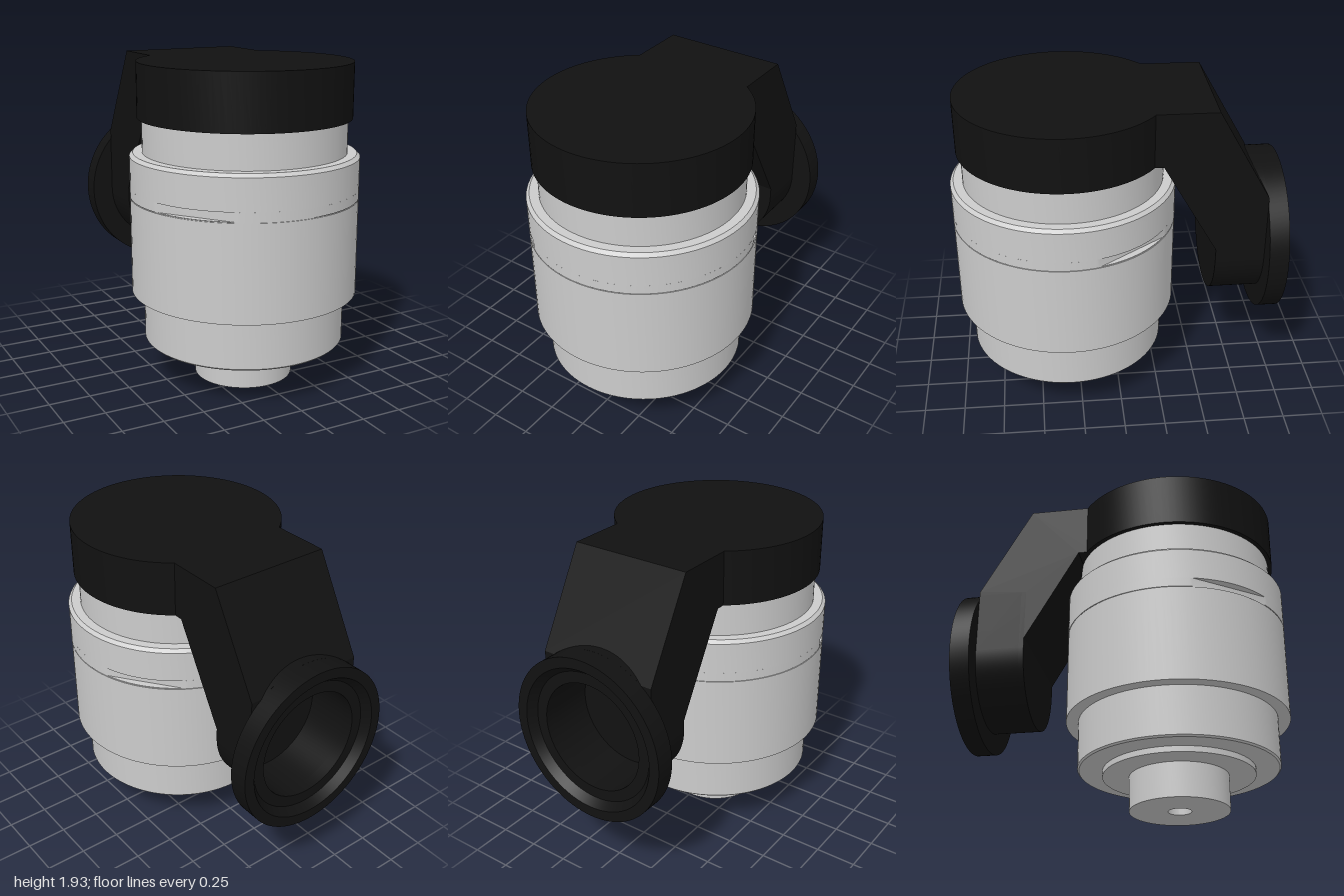
import * as THREE from 'three';
import { toCreasedNormals } from 'three/addons/utils/BufferGeometryUtils.js';

const AXIS_Z = 0.315;   // body axis
const PORT_Y = 0.965;   // height of the round port on the arm
const ARM = 0.38;       // half width of the arm

const grey = new THREE.MeshStandardMaterial({ color: 0xcccccc });
const black = new THREE.MeshStandardMaterial({ color: 0x111111 });

const vec = ([x, y]) => new THREE.Vector2(x, y);
const rad = THREE.MathUtils.degToRad;

function part(name, geometry, material) {
  const mesh = new THREE.Mesh(toCreasedNormals(geometry, 0.5), material);
  mesh.name = name;
  return mesh;
}

const lathe = (points) => new THREE.LatheGeometry(points.map(vec), 96);

const extrude = (shape, depth) =>
  new THREE.ExtrudeGeometry(shape, { depth, bevelEnabled: false, curveSegments: 48 });

// Rounded-bottom outline of the port housing, optionally bored
function housingShape(boreRadius) {
  const shape = new THREE.Shape();
  shape.moveTo(ARM, 1.35);
  shape.lineTo(-ARM, 1.35);
  shape.lineTo(-ARM, PORT_Y);
  shape.absarc(0, PORT_Y, ARM, Math.PI, 2 * Math.PI, false);
  shape.closePath();
  if (boreRadius) {
    shape.holes.push(new THREE.Path().absarc(0, PORT_Y, boreRadius, 0, 2 * Math.PI, true));
  }
  return shape;
}

function createBody() {
  const body = new THREE.Group();
  body.name = 'body';
  body.position.z = AXIS_Z;

  // Stem with centre hole, stepped base and lower barrel
  body.add(part('lowerBody', lathe([
    [0, 0.12], [0.07, 0.12], [0.07, 0], [0.3, 0], [0.3, 0.21], [0.46, 0.21], [0.46, 0.245],
    [0.6, 0.245], [0.61, 0.255], [0.61, 0.55], [0.685, 0.55], [0.685, 1.13],
    [0.68, 1.13], [0.68, 1.135], [0, 1.135],
  ]), grey));

  // Thin collar layer with two opposite flats
  const flats = new THREE.Shape();
  flats.absarc(0, 0, 0.685, rad(57.6), rad(194.4), false);
  flats.absarc(0, 0, 0.685, rad(237.6), rad(374.4), false);
  flats.closePath();
  const notched = extrude(flats, 0.055);
  notched.rotateX(-Math.PI / 2).translate(0, 1.135, 0);
  body.add(part('notchedCollar', notched, grey));

  // Upper collar with chamfered lip, and the neck under the cap
  body.add(part('upperCollar', lathe([
    [0, 1.19], [0.685, 1.19], [0.685, 1.38], [0.665, 1.4], [0.61, 1.4], [0.61, 1.62],
  ]), grey));

  body.add(part('cap', lathe([
    [0, 1.605], [0.637, 1.605], [0.637, 1.935], [0, 1.935],
  ]), black));
  return body;
}

function createArm() {
  const arm = new THREE.Group();
  arm.name = 'arm';

  // Bent arm, side outline drawn as (distance to the back, height)
  const outline = new THREE.Shape([
    [0.15, 1.605], [0.25, 1.605], [0.58, 1.03], [0.58, 1.35], [0.88, 1.35],
    [0.88, 1.375], [0.56, 1.935], [0.15, 1.935],
  ].map(vec));
  const bend = extrude(outline, 2 * ARM);
  bend.translate(0, 0, -ARM).rotateY(Math.PI / 2);
  arm.add(part('bentArm', bend, black));

  // Round shoulder where the slope meets the flange
  const start = Math.acos(ARM / 0.515);
  const shoulder = new THREE.Shape();
  shoulder.absarc(0, PORT_Y, 0.515, start, Math.PI - start, false);
  shoulder.closePath();
  const shoulderGeometry = extrude(shoulder, 0.06);
  shoulderGeometry.translate(0, 0, -0.88);
  arm.add(part('shoulder', shoulderGeometry, black));

  // Bored housing and its closed front wall
  const housing = extrude(housingShape(0.34), 0.27);
  housing.translate(0, 0, -0.88);
  arm.add(part('portHousing', housing, black));
  const wall = extrude(housingShape(0), 0.03);
  wall.translate(0, 0, -0.61);
  arm.add(part('portWall', wall, black));

  // Flange ring with a recessed, bevelled opening
  const flange = lathe([
    [0.34, 0.88], [0.515, 0.88], [0.515, 1], [0.45, 1], [0.41, 0.95], [0.34, 0.95], [0.34, 0.88],
  ]);
  flange.rotateX(-Math.PI / 2).translate(0, PORT_Y, 0);
  arm.add(part('portFlange', flange, black));
  return arm;
}

export function createModel() {
  const model = new THREE.Group();
  model.name = 'model';
  model.add(createBody(), createArm());
  return model;
}
